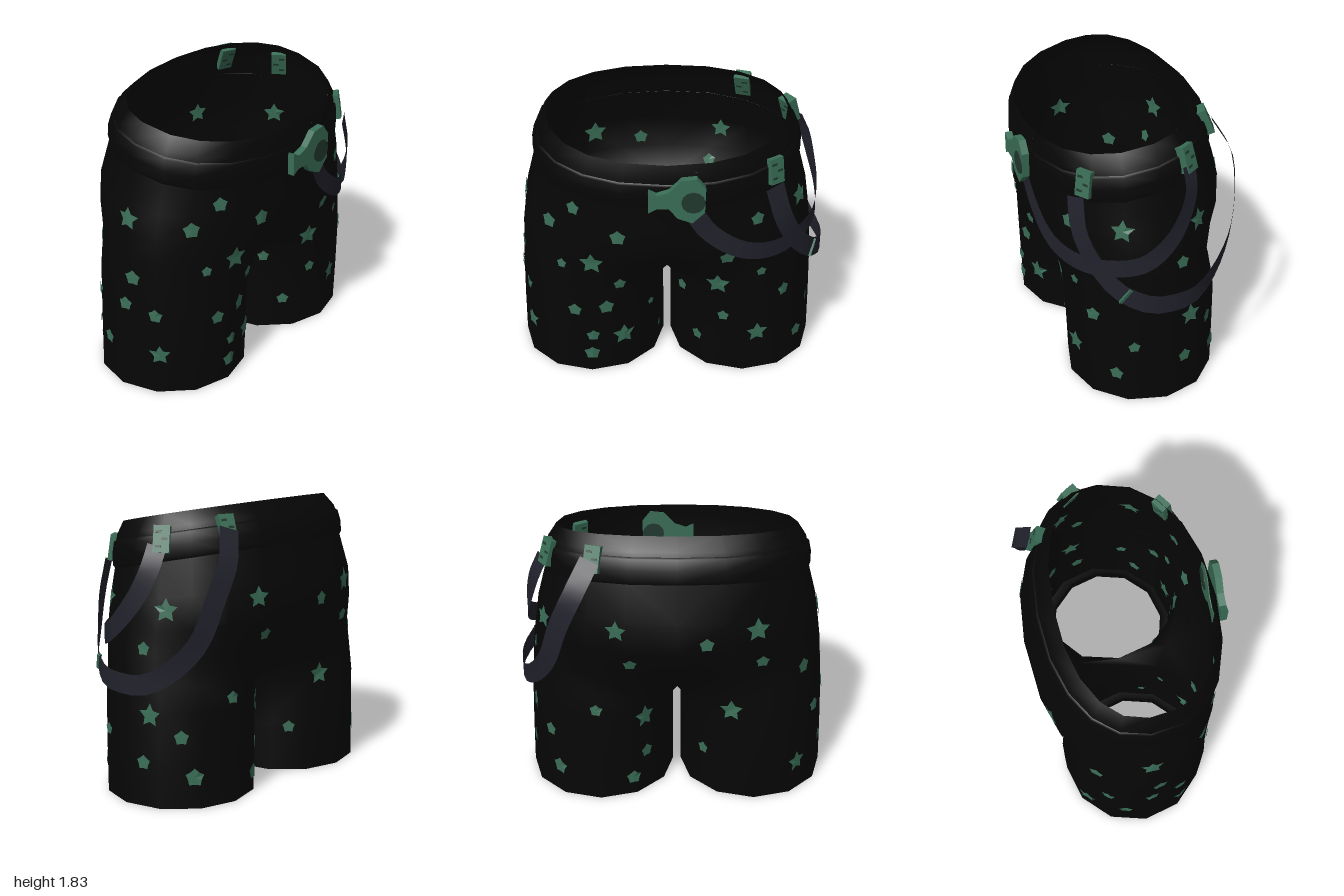
import * as THREE from 'three';
import { mergeVertices } from 'three/addons/utils/BufferGeometryUtils.js';

const CX = -0.025; // midline of the garment
const N = 12;      // points per half section: 0..10 outside, 11 inner thigh
const V = (x, y, z) => new THREE.Vector3(x, y, z);

const mat = (name, color) => new THREE.MeshStandardMaterial({ name, color, side: THREE.DoubleSide });

// Half of a waist or hip section, from front middle round the side to back middle
function hipPoint(i, [Y, tilt, a, zf, zb], grow = 0) {
  const t = (i / 10) * Math.PI, s = Math.max(0, Math.sin(t)), c = Math.cos(t);
  const x = i === 0 || i === 10 ? 0 : (a + grow) * Math.pow(s, 0.9);
  const z = Math.sign(c) * Math.pow(Math.abs(c), 0.9) * (c > 0 ? zf + grow : grow - zb);
  return [x, Y - tilt * z, z];
}

// Round leg section
function legPoint(i, [y, cx, r, cz, rz]) {
  const f = ((-60 + 30 * i) * Math.PI) / 180;
  return [cx + r * Math.sin(f), y, cz + rz * Math.cos(f)];
}

// Joins half sections from top to bottom and mirrors them; open(row) leaves out the inner thigh
function loft(rows, open) {
  const pos = [], idx = [];
  for (const side of [1, -1]) {
    const base = pos.length / 3;
    rows.forEach((row) => row.forEach((p) => pos.push(CX + side * p[0], p[1], p[2])));
    for (let r = 0; r < rows.length - 1; r++) {
      for (let i = 0; i < (open(r) ? 10 : N); i++) {
        const a = base + r * N + i, b = base + r * N + ((i + 1) % N), c = b + N, d = a + N;
        if (side > 0) idx.push(a, d, c, a, c, b);
        else idx.push(a, c, d, a, b, c);
      }
    }
  }
  let g = new THREE.BufferGeometry();
  g.setAttribute('position', new THREE.Float32BufferAttribute(pos, 3));
  g.setIndex(idx);
  g = mergeVertices(g, 1e-4);
  g.computeVertexNormals();
  return g;
}

const each = (fn) => Array.from({ length: N }, (_, i) => fn(i));

// Flat band along a smooth path, facing away from the body
function strapGeometry(points, half) {
  const curve = new THREE.CatmullRomCurve3(points.map((p) => V(...p)));
  const pos = [], idx = [], n = 28;
  for (let k = 0; k <= n; k++) {
    const p = curve.getPointAt(k / n), t = curve.getTangentAt(k / n);
    const w = V(p.x * 0.4, 0, p.z).normalize().cross(t).normalize().multiplyScalar(half);
    pos.push(p.x + w.x, p.y + w.y, p.z + w.z, p.x - w.x, p.y - w.y, p.z - w.z);
    if (k < n) idx.push(2 * k, 2 * k + 1, 2 * k + 3, 2 * k, 2 * k + 3, 2 * k + 2);
  }
  const g = new THREE.BufferGeometry();
  g.setAttribute('position', new THREE.Float32BufferAttribute(pos, 3));
  g.setIndex(idx);
  g.computeVertexNormals();
  return g;
}

export function createModel() {
  const model = new THREE.Group();
  const cloth = mat('black cloth', 0x060606), green = mat('green', 0x3a6e57);
  const darkGreen = mat('dark green', 0x21382f), strapMat = mat('strap grey', 0x22222d);
  const add = (name, geo, material, parent = model) => {
    const m = new THREE.Mesh(geo, material);
    m.name = name;
    parent.add(m);
    return m;
  };

  // Shorts: hips blend into two legs. Row: height, tilt, half width, front, back, leg blend
  const hips = [
    [1.745, 0.2, 0.755, 0.55, -0.42, 0], [1.66, 0.2, 0.81, 0.57, -0.5, 0],
    [1.56, 0.2, 0.838, 0.575, -0.545, 0], [1.45, 0.2, 0.84, 0.565, -0.56, 0],
    [1.25, 0.14, 0.893, 0.56, -0.63, 0], [1.08, 0.08, 0.918, 0.56, -0.625, 0],
    [0.92, 0.03, 0.938, 0.55, -0.565, 0.2], [0.75, 0, 0.95, 0.53, -0.545, 0.75],
  ];
  const hipRows = hips.map((h) => each((i) => {
    if (i === 11) return [0, 0.67, -0.03]; // crotch
    const p = hipPoint(i, h), q = legPoint(i, [h[0], 0.483, 0.465, -0.025, 0.49]);
    const v = p.map((e, k) => e + (q[k] - e) * h[5]);
    if (i === 0 || i === 10) v[0] = 0;
    return v;
  }));
  const legs = [[0.61, 0.492, 0.467, -0.025, 0.487], [0.3, 0.497, 0.472, -0.03, 0.482], [0, 0.5, 0.475, -0.035, 0.475]];
  const legRows = legs.map((l) => each((i) => legPoint(i, l)));
  const body = add('shorts', loft([...hipRows, ...legRows], (r) => r < hips.length - 1), cloth);

  // Turned-in leg hems
  const hems = [legs[2], [0.004, 0.5, 0.405, -0.02, 0.4], [0.08, 0.5, 0.405, -0.02, 0.4]];
  add('legHems', loft(hems.map((l) => each((i) => legPoint(i, l))), () => false), cloth);

  // Belt standing slightly proud of the waist
  const belt = [[1.63, 0.2, 0.82, 0.572, -0.515, 0], [1.62, 0.2, 0.823, 0.573, -0.52, 0.01],
    [1.55, 0.2, 0.838, 0.574, -0.547, 0.01], [1.475, 0.2, 0.84, 0.568, -0.557, 0.01], [1.46, 0.2, 0.84, 0.566, -0.558, 0]];
  add('belt', loft(belt.map((b) => each((i) => hipPoint(Math.min(i, 10), b, b[5]))), () => true), cloth);

  // Finds the cloth surface along a ray, with its normal turned towards the ray
  body.updateMatrixWorld(true);
  const ray = new THREE.Raycaster();
  function hit(origin, dir) {
    ray.set(origin, dir);
    const h = ray.intersectObject(body)[0];
    if (!h) return null;
    const normal = h.face.normal.clone();
    if (normal.dot(dir) > 0) normal.negate();
    return { point: h.point, normal, distance: h.distance };
  }
  const casts = {
    front: (x, y) => hit(V(x, y, 3), V(0, 0, -1)),
    back: (x, y) => hit(V(x, y, -3), V(0, 0, 1)),
    left: (z, y) => hit(V(3, y, z), V(-1, 0, 0)),
    right: (z, y) => hit(V(-3, y, z), V(1, 0, 0)),
  };

  // Star pattern laid onto the cloth, outside and inside
  const starPos = [];
  function star(h, size) {
    const n = h.normal, u = V(0, 1, 0).cross(n).normalize(), v = n.clone().cross(u);
    const down = n.clone().negate();
    const inner = size > 0.06 ? 0.56 : 0.8;
    const pts = [];
    for (let k = 0; k < 10; k++) {
      const a = Math.PI / 2 + (k * Math.PI) / 5, r = size * (k % 2 ? inner : 1.08);
      const p = h.point.clone().addScaledVector(u, r * Math.cos(a)).addScaledVector(v, r * Math.sin(a));
      const s = hit(p.clone().addScaledVector(n, 0.1), down);
      pts.push(s && s.distance < 0.2 ? s.point : p);
    }
    for (const off of [0.009, -0.009]) {
      const P = [h.point, ...pts].map((p) => p.clone().addScaledVector(n, off));
      for (let k = 1; k <= 10; k++) {
        const b = P[k], c = P[(k % 10) + 1];
        for (const q of off > 0 ? [P[0], b, c] : [P[0], c, b]) starPos.push(q.x, q.y, q.z);
      }
    }
  }
  const stars = {
    front: [[-.6, 1.28, .045], [-.76, 1.14, .05], [-.33, 1.12, .05], [-.5, .89, .075], [-.69, .85, .033],
      [-.33, .7, .04], [-.62, .5, .045], [-.42, .52, .05], [-.51, .3, .042], [-.52, .15, .05], [-.31, .27, .075],
      [-.14, .43, .025], [-.09, .16, .025], [.53, 1.21, .045], [.35, .95, .05], [.57, .8, .033], [.3, .7, .075],
      [.08, .56, .038], [.34, .44, .038], [.72, .62, .045], [.18, .22, .04], [.56, .31, .07]],
    back: [[.35, 1.28, .065], [-.2, 1.2, .045], [-.51, 1.27, .075], [.19, .57, .075], [.18, .3, .045],
      [.49, .67, .04], [.26, .13, .048], [-.37, .65, .07], [-.82, .9, .05], [-.8, .22, .07],
      [-.55, 1.03, .042], [-.2, .3, .04], [.27, 1.04, .042]],
    left: [[.22, 1.24, .07], [-.26, 1.22, .07], [-.14, .98, .042], [-.2, .58, .07], [.17, .42, .038],
      [-.36, .45, .045], [-.16, .28, .045], [.26, .2, .045], [-.42, .2, .055]],
    right: [[.05, .79, .05], [.2, .56, .045], [.22, .28, .065], [-.17, .28, .045], [0, 1.17, .07],
      [0, .6, .045], [-.28, .58, .045]],
  };
  for (const face in stars) {
    stars[face].forEach(([a, y, size]) => {
      const h = casts[face](a, y);
      if (h) star(h, size);
    });
  }
  const starGeo = new THREE.BufferGeometry();
  starGeo.setAttribute('position', new THREE.Float32BufferAttribute(starPos, 3));
  starGeo.computeVertexNormals();
  add('stars', starGeo, green);

  // Buckle: faceted disc with a flared tail, and its backing plate inside the waist
  const outline = [[.06, 1.58], [.15, 1.59], [.205, 1.52], [.2, 1.36], [.125, 1.285], [.035, 1.32], [-.015, 1.385],
    [-.09, 1.385], [-.14, 1.355], [-.14, 1.5], [-.09, 1.475], [-.015, 1.5]].map((p) => new THREE.Vector2(...p));
  for (const [part, z, depth, gemZ] of [['buckle', 0.59, 0.045, 0.637], ['buckleBacking', 0.54, 0.006, 0.538]]) {
    const geo = new THREE.ExtrudeGeometry(new THREE.Shape(outline), { depth, bevelEnabled: false });
    add(part, geo, green).position.z = z;
    const gem = add(part + 'Centre', new THREE.CylinderGeometry(0.072, 0.072, 0.006, 12), darkGreen);
    gem.rotation.x = Math.PI / 2;
    gem.position.set(0.13, 1.43, gemZ);
  }

  // Hanging straps
  add('frontStrap', strapGeometry([[.14, 1.33, .6], [.22, 1.2, .585], [.36, 1.08, .565], [.5, 1.01, .525], [.66, .98, .44],
    [.8, .99, .31], [.92, 1.05, .13], [.94, 1.17, -.02], [.91, 1.32, -.13], [.865, 1.48, -.19], [.81, 1.6, -.19]], 0.06), strapMat);
  add('sideStrap', strapGeometry([[.63, 1.43, .45], [.69, 1.22, .45], [.78, 1.02, .38], [.89, .87, .27], [.98, .79, .1],
    [.99, .775, -.05], [.96, .78, -.2], [.88, .87, -.36], [.78, 1.05, -.5], [.7, 1.3, -.56], [.6, 1.52, -.57], [.5, 1.7, -.48]], 0.064), strapMat);

  // Belt clips clasping the waist, with dark slots on both faces
  [casts.front(.625, 1.51), casts.left(-.19, 1.63), casts.back(.48, 1.69)].forEach((h, k) => {
    const clip = add('beltClip' + (k + 1), new THREE.BoxGeometry(0.1, 0.165, 0.07), green);
    clip.position.copy(h.point);
    clip.lookAt(h.point.clone().add(h.normal));
    for (const [x, y] of [[-0.02, 0.045], [0.02, 0], [-0.02, -0.045]]) {
      const slot = add('clipSlot', new THREE.BoxGeometry(0.035, 0.014, 0.076), darkGreen, clip);
      slot.position.set(x, y, 0);
    }
  });

  // Small joint on the side strap
  const joint = add('strapJoint', new THREE.BoxGeometry(0.02, 0.12, 0.02), green);
  joint.position.set(0.91, 0.845, 0.24);
  joint.rotation.set(-0.5, 0, -0.3);

  return model;
}
